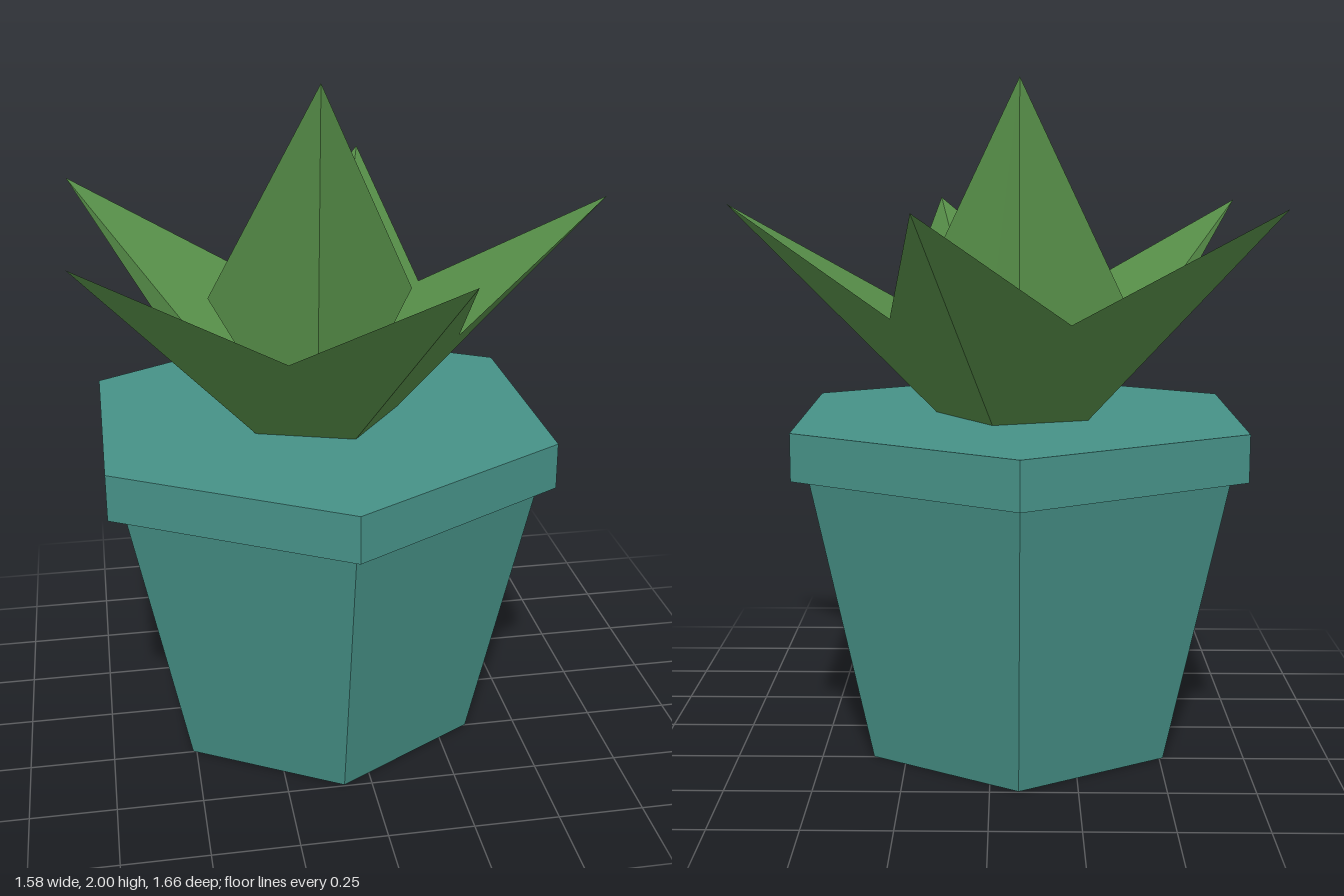
import * as THREE from 'three';

const teal = new THREE.MeshStandardMaterial({ color: 0x469187, flatShading: true });
teal.name = 'teal pot';
const paleTeal = new THREE.MeshStandardMaterial({ color: 0x5dc5bb, flatShading: true });
paleTeal.name = 'pale teal underside';
const green = new THREE.MeshStandardMaterial({ color: 0x558c47, flatShading: true, side: THREE.DoubleSide });
green.name = 'leaf green';

function addMesh(group, name, geometry, material, y = 0) {
  const mesh = new THREE.Mesh(geometry, material);
  mesh.name = name;
  mesh.position.y = y;
  group.add(mesh);
}

// Flat-faced geometry from triangles, each given as three [x, y, z] corners
function fromTriangles(triangles) {
  const geometry = new THREE.BufferGeometry();
  geometry.setAttribute('position', new THREE.Float32BufferAttribute(triangles.flat(2), 3));
  geometry.computeVertexNormals();
  return geometry;
}

// Five pointed leaves: a flaring pentagon whose upper edge zigzags
function outerLeaves() {
  const ring = (radius, y, step) => {
    const a = step * Math.PI * 2 / 5;
    return [radius * Math.cos(a), y, radius * Math.sin(a)];
  };
  const triangles = [];
  for (let i = 0; i < 5; i++) {
    const baseA = ring(0.25, 1, i), baseB = ring(0.25, 1, i + 1);
    const tipA = ring(0.872, 1.625, i), tipB = ring(0.872, 1.625, i + 1);
    const valley = ring(0.454, 1.31, i + 0.5);
    triangles.push([valley, tipB, baseB], [valley, baseB, baseA], [valley, baseA, tipA]);
  }
  return fromTriangles(triangles);
}

// Tall middle leaf: two mirrored blades folded along the centre line
function centreLeaf() {
  const tip = [0, 2, 0.12], foot = [0, 1, 0.02];
  const triangles = [];
  for (const s of [-1, 1]) {
    const shoulder = [s * 0.31, 1.34, -0.1], corner = [s * 0.12, 1, -0.04];
    const blade = [[tip, shoulder, corner], [tip, corner, foot]];
    for (const t of blade) triangles.push(s < 0 ? t : t.reverse());
  }
  return fromTriangles(triangles);
}

export function createModel() {
  const model = new THREE.Group();
  model.name = 'pottedPlant';

  const plant = new THREE.Group();
  plant.name = 'potAndPlant';
  plant.position.x = -0.082;
  model.add(plant);

  // Six-sided tapered pot (side, top, bottom materials) with a thick closed rim
  addMesh(plant, 'potBody', new THREE.CylinderGeometry(0.688, 0.495, 0.862, 6), [teal, teal, paleTeal], 0.431);
  addMesh(plant, 'potRim', new THREE.CylinderGeometry(0.742, 0.742, 0.138, 6), teal, 0.931);

  addMesh(plant, 'outerLeaves', outerLeaves(), green);
  addMesh(plant, 'centreLeaf', centreLeaf(), green);
  return model;
}
